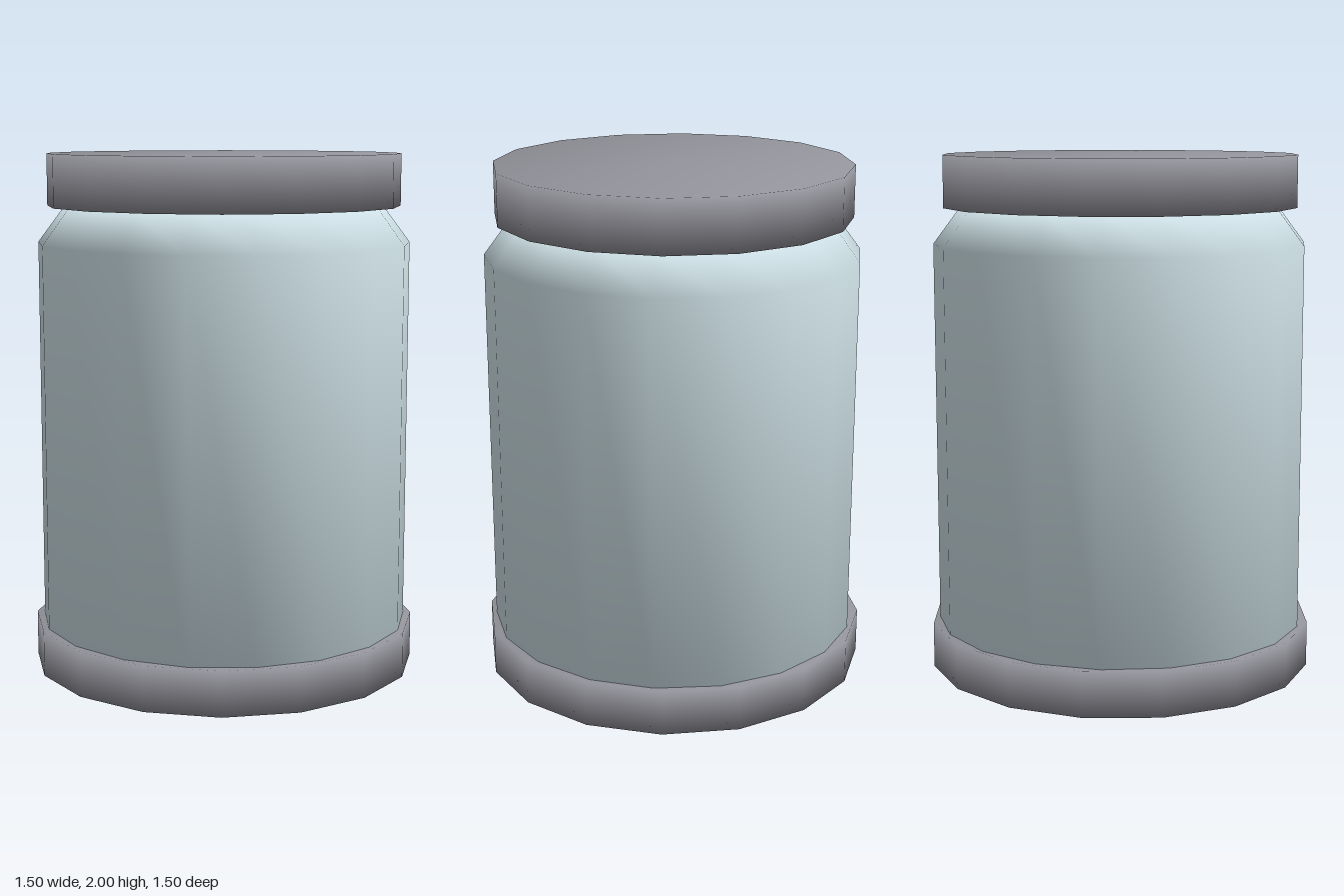
import * as THREE from 'three';

const metal = new THREE.MeshStandardMaterial({ color: 0x94949c });
const glass = new THREE.MeshStandardMaterial({ color: 0xd3e6ec });

// Closed turned part; the normals run smoothly over the rims
function turned(name, profile, sides, phiStart, material) {
  const points = profile.map(([r, y]) => new THREE.Vector2(r, y));
  const mesh = new THREE.Mesh(new THREE.LatheGeometry(points, sides, phiStart), material);
  mesh.name = name;
  return mesh;
}

const disc = (r, y0, y1) => [[0, y0], [r, y0], [r, y1], [0, y1]];

export function createModel() {
  const jar = new THREE.Group();
  jar.name = 'jar';

  // Wide foot under the jar
  jar.add(turned('base', disc(0.75, 0, 0.175), 16, 0, metal));

  // Straight wall with a sloped shoulder, corners on the x axis
  const wall = [[0, 0.17], [0.72, 0.17], [0.72, 1.66], [0.615, 1.8], [0, 1.8]];
  jar.add(turned('glassBody', wall, 18, Math.PI / 2, glass));

  // Flat lid
  jar.add(turned('lid', disc(0.683, 1.8, 2), 16, 0, metal));

  return jar;
}
